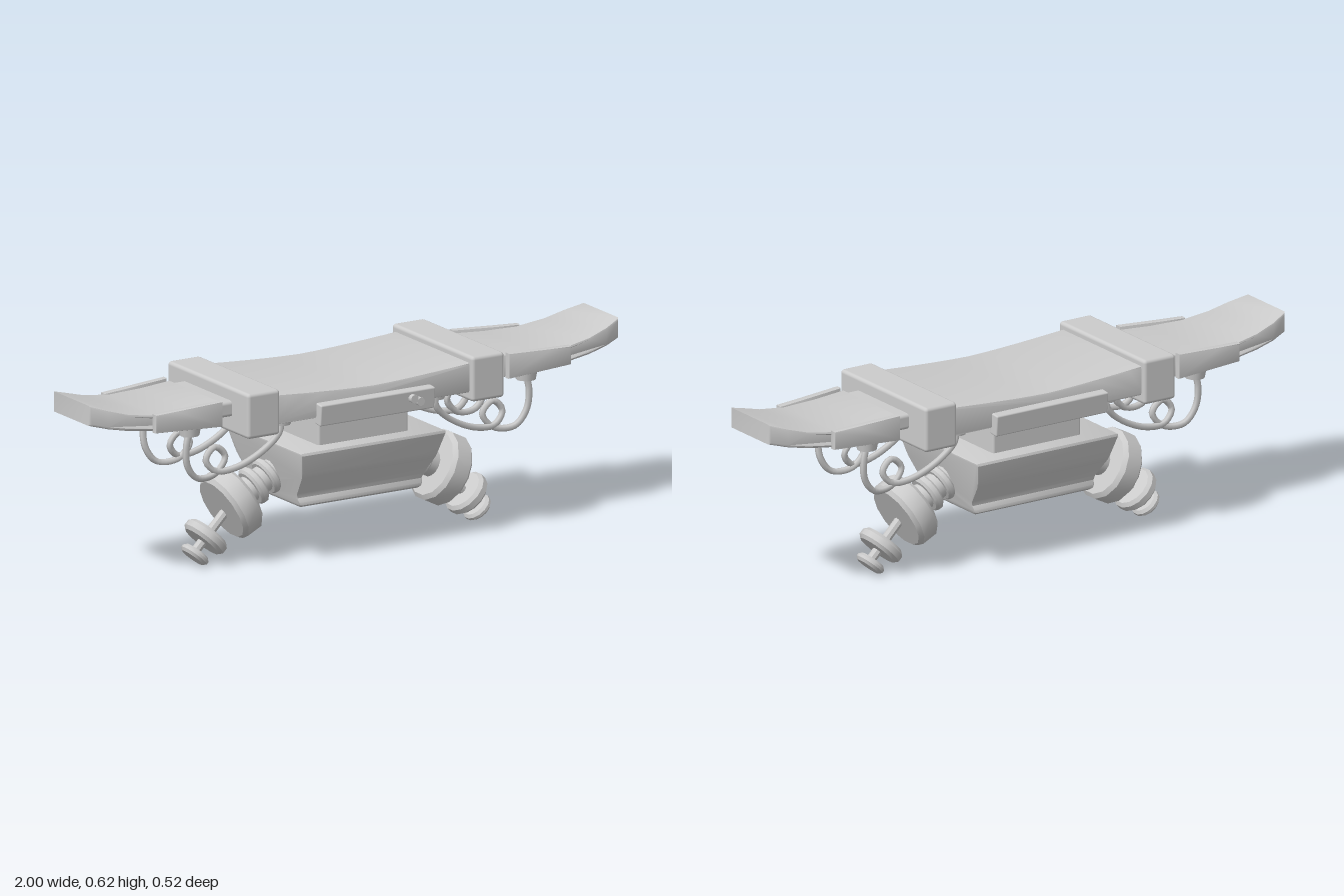
import * as THREE from 'three';
import { toCreasedNormals } from 'three/addons/utils/BufferGeometryUtils.js';
import { RoundedBoxGeometry } from 'three/addons/geometries/RoundedBoxGeometry.js';

const grey = new THREE.MeshStandardMaterial({ color: 0xcccccc });

function add(parent, name, geometry) {
  const mesh = new THREE.Mesh(geometry, grey);
  mesh.name = name;
  parent.add(mesh);
  return mesh;
}

// Rounded box given by its extents
function block(parent, name, [x0, x1], [y0, y1], [z0, z1], r = 0.01) {
  const mesh = add(parent, name, new RoundedBoxGeometry(x1 - x0, y1 - y0, z1 - z0, 2, r));
  mesh.position.set((x0 + x1) / 2, (y0 + y1) / 2, (z0 + z1) / 2);
  return mesh;
}

// Bevelled slab with an outline in x/y, centred on z; warp moves each vertex
function slab(outline, width, bevel, warp) {
  const shape = new THREE.Shape(outline.map(([x, y]) => new THREE.Vector2(x, y)));
  const geo = new THREE.ExtrudeGeometry(shape, {
    depth: width - 2 * bevel, bevelThickness: bevel, bevelSize: bevel,
    bevelOffset: -bevel, bevelSegments: 2,
  });
  geo.translate(0, 0, bevel - width / 2);
  if (warp) {
    const p = geo.attributes.position;
    const v = new THREE.Vector3();
    for (let i = 0; i < p.count; i++) {
      warp(v.fromBufferAttribute(p, i));
      p.setXYZ(i, v.x, v.y, v.z);
    }
  }
  return toCreasedNormals(geo, 0.6);
}

// Piecewise linear lookup through [key, value] pairs
function lookup(table, k) {
  for (let i = 1; i < table.length; i++) {
    const [a, va] = table[i - 1], [b, vb] = table[i];
    if (k <= b) return va + (vb - va) * Math.max(0, (k - a) / (b - a));
  }
  return table[table.length - 1][1];
}

// Bevelled disc, its axis pointing outwards and down by the given angle
function disc(parent, name, [x, y], angle, radius, thick, bevel, sides = 14) {
  const h = thick / 2;
  const profile = [
    [0, -h], [radius - bevel, -h], [radius, -h + bevel],
    [radius, h - bevel], [radius - bevel, h], [0, h],
  ].map(([r, t]) => new THREE.Vector2(r, t));
  const mesh = add(parent, name, toCreasedNormals(new THREE.LatheGeometry(profile, sides), 0.6));
  mesh.position.set(x, y, 0);
  mesh.rotation.z = -Math.PI / 2 - angle;
}

// Curved wing tip with its side plates
function buildWing(side) {
  const top = [[0.535, 0.588], [0.65, 0.58], [0.77, 0.578], [0.87, 0.593], [0.94, 0.613], [1, 0.632]];
  const bottom = [[1, 0.565], [0.94, 0.55], [0.87, 0.536], [0.77, 0.524], [0.65, 0.517], [0.535, 0.512]];
  const halfWidth = [[0.535, 0.157], [0.8, 0.151], [0.94, 0.13], [0.975, 0.122], [1, 0.108]];
  add(side, 'wing', slab([...bottom, ...top], 0.314, 0.008, (v) => {
    v.z *= lookup(halfWidth, v.x) / 0.157;
  }));
  const plate = [[0.54, 0.512], [0.785, 0.522], [0.785, 0.583], [0.7, 0.587], [0.54, 0.596]];
  for (const s of [1, -1]) {
    const mesh = add(side, 'wingSidePlate', slab(plate, 0.026, 0.005, (v) => {
      v.z -= s * (v.x - 0.54) * 0.055;
    }));
    mesh.position.z = s * 0.168;
  }
}

// Looped cable with a socket at each end
function buildCable(side, s) {
  const path = [
    [0.29, 0.49, 0.13], [0.295, 0.45, 0.13], [0.345, 0.4, 0.125], [0.45, 0.352, 0.12],
    [0.53, 0.35, 0.113], [0.56, 0.39, 0.108], [0.525, 0.427, 0.106], [0.485, 0.39, 0.106],
    [0.525, 0.34, 0.11], [0.6, 0.337, 0.12], [0.64, 0.385, 0.125], [0.647, 0.45, 0.13],
    [0.635, 0.505, 0.13],
  ].map(([x, y, z]) => new THREE.Vector3(x, y, s * z));
  add(side, 'cable', new THREE.TubeGeometry(new THREE.CatmullRomCurve3(path), 56, 0.011, 6));
  for (const [x, y] of [[0.29, 0.492], [0.635, 0.505]]) {
    const socket = add(side, 'cableSocket', new THREE.CylinderGeometry(0.038, 0.032, 0.034, 12));
    socket.position.set(x, y, s * 0.13);
  }
}

// Stacked thruster, bending downwards along its length
function buildThruster(side) {
  const tilt = 0.47, bend = 0.79;
  const along = (t) => [0.396 + t * Math.cos(tilt), 0.2 - t * Math.sin(tilt)];
  disc(side, 'thrusterCore', along(-0.11), tilt, 0.045, 0.22, 0.004);
  disc(side, 'thrusterCollar', along(-0.15), tilt, 0.063, 0.028, 0.007);
  disc(side, 'thrusterCollar', along(-0.095), tilt, 0.066, 0.032, 0.008);
  disc(side, 'thrusterDrum', along(0), tilt, 0.12, 0.082, 0.013);
  disc(side, 'thrusterRod', [0.468, 0.122], bend, 0.016, 0.2, 0.002, 8);
  disc(side, 'thrusterWheel', [0.492, 0.1], bend, 0.077, 0.042, 0.011);
  disc(side, 'thrusterCap', [0.533, 0.047], 0.84, 0.05, 0.027, 0.009);
}

function buildSide(turn) {
  const side = new THREE.Group();
  side.name = turn ? 'rightSide' : 'leftSide';
  side.rotation.y = turn;
  block(side, 'endBlock', [0.362, 0.485], [0.475, 0.625], [-0.243, 0.243], 0.012);
  block(side, 'hingeBar', [0.47, 0.55], [0.53, 0.582], [-0.148, 0.148], 0.012);
  buildWing(side);
  for (const s of [1, -1]) buildCable(side, s);
  buildThruster(side);
  return side;
}

export function createModel() {
  const model = new THREE.Group();
  model.name = 'model';
  const body = new THREE.Group();
  body.name = 'body';
  body.position.z = -0.006;
  model.add(body);

  // Central deck, dipping slightly in the middle
  const deck = [[-0.38, 0.503], [0.38, 0.503]];
  for (let i = 0; i <= 12; i++) {
    const x = 0.38 - (i * 0.76) / 12;
    deck.push([x, 0.583 + 0.021 * Math.pow(Math.abs(x) / 0.38, 1.4)]);
  }
  add(body, 'deck', slab(deck, 0.45, 0.008));

  // Plates along the front and back of the deck
  for (const s of [1, -1]) {
    const plate = block(body, 'deckPlate', [-0.216, 0.216], [0.482, 0.553], [-0.018, 0.018], 0.005);
    plate.position.z = s * 0.234;
    plate.rotation.x = s * 0.1;
  }
  for (const [x, y] of [[0.128, 0.527], [0.152, 0.515]]) {
    const bolt = add(body, 'plateBolt', new THREE.CylinderGeometry(0.014, 0.014, 0.03, 10));
    bolt.position.set(x, y, 0.255);
    bolt.rotation.x = Math.PI / 2;
  }

  // Neck and keel-shaped hull, which narrows in x towards its base
  block(body, 'neck', [-0.17, 0.17], [0.385, 0.52], [-0.165, 0.165], 0.008);
  const half = [[0.138, 0.19], [0.15, 0.198], [0.15, 0.208], [0.143, 0.222], [0.147, 0.237],
    [0.197, 0.3], [0.206, 0.32], [0.228, 0.385], [0.225, 0.393]];
  const outline = [...half, ...half.map(([z, y]) => [-z, y]).reverse()];
  const hull = add(body, 'hull', slab(outline, 0.55, 0.006, (v) => {
    v.z *= lookup([[0.19, 0.82], [0.21, 0.85], [0.36, 0.97], [0.393, 1]], v.y);
  }));
  hull.rotation.y = Math.PI / 2;

  // Wings, cables and thrusters on both sides
  body.add(buildSide(0), buildSide(Math.PI));
  return model;
}
